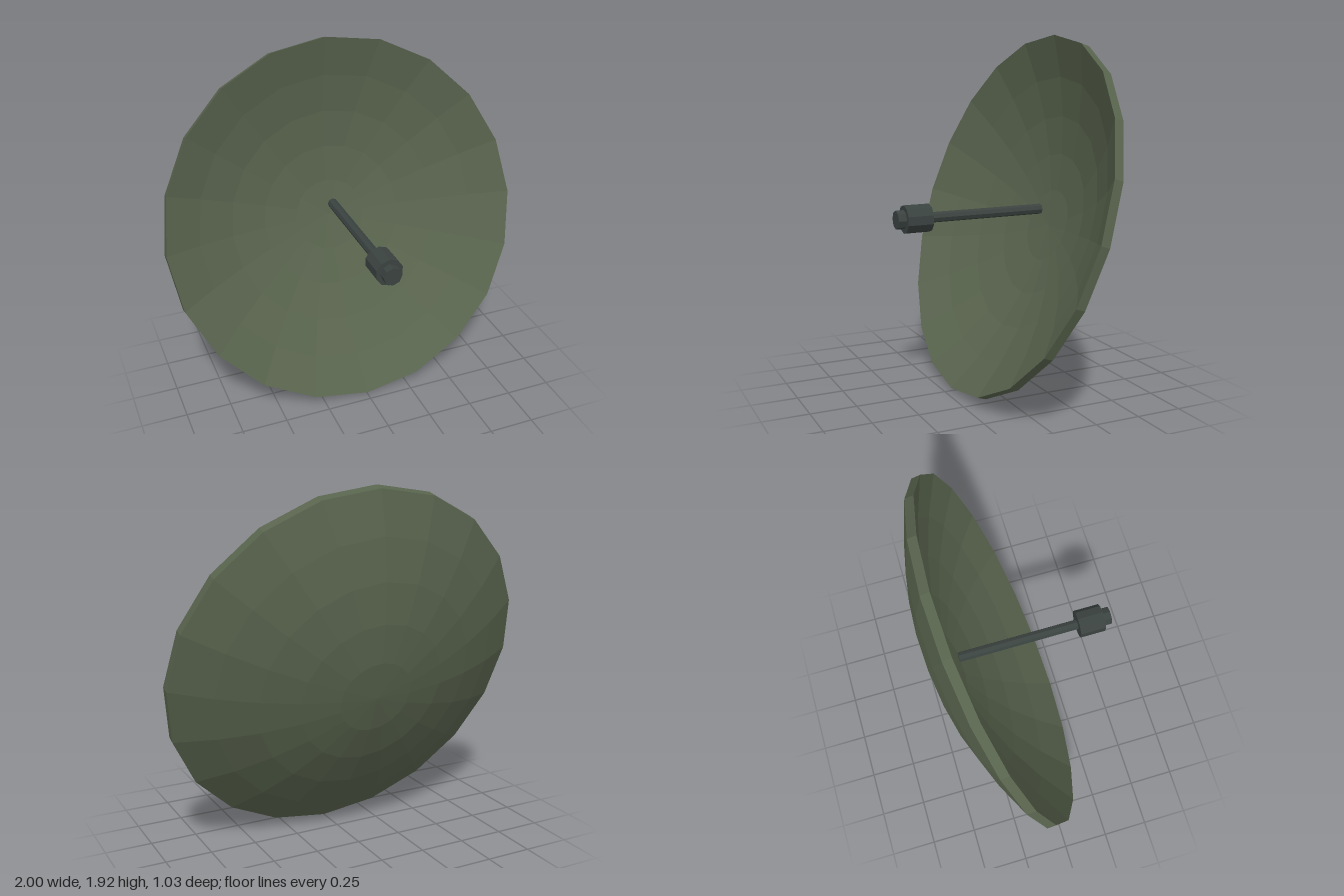
import * as THREE from 'three';

export function createModel() {
  const model = new THREE.Group();
  model.name = 'dishAntenna';

  const olive = new THREE.MeshStandardMaterial({ color: 0x58634d, flatShading: true });
  olive.name = 'olive green';
  const gunmetal = new THREE.MeshStandardMaterial({ color: 0x3a4240, flatShading: true });
  gunmetal.name = 'dark gunmetal';

  // Parabolic reflector: back shell, rim band and front bowl in one closed profile
  const depth = 0.304, thickness = 0.05, rings = 5;
  const profile = [];
  for (let i = 0; i <= rings; i++) {
    const r = i / rings;
    profile.push(new THREE.Vector2(r, -thickness - depth * (1 - r * r)));
  }
  for (let i = rings; i >= 0; i--) {
    const r = i / rings;
    profile.push(new THREE.Vector2(r, -depth * (1 - r * r)));
  }
  const dish = new THREE.Mesh(new THREE.LatheGeometry(profile, 20), olive);
  dish.name = 'reflectorDish';
  dish.rotation.x = THREE.MathUtils.degToRad(72);
  dish.position.set(0, 0.9665, -0.097);
  model.add(dish);

  // Feed assembly: coaxial cylinders along z
  const feed = new THREE.Group();
  feed.name = 'feedAssembly';
  feed.position.y = 0.971;
  const addCylinder = (name, radius, sides, z0, z1) => {
    const geometry = new THREE.CylinderGeometry(radius, radius, z1 - z0, sides);
    geometry.rotateX(Math.PI / 2);
    const mesh = new THREE.Mesh(geometry, gunmetal);
    mesh.name = name;
    mesh.position.z = (z0 + z1) / 2;
    feed.add(mesh);
  };
  addCylinder('feedRod', 0.028, 8, -0.33, 0.34);
  addCylinder('feedHousing', 0.075, 10, 0.333, 0.473);
  addCylinder('feedTip', 0.05, 8, 0.47, 0.517);
  model.add(feed);

  return model;
}
